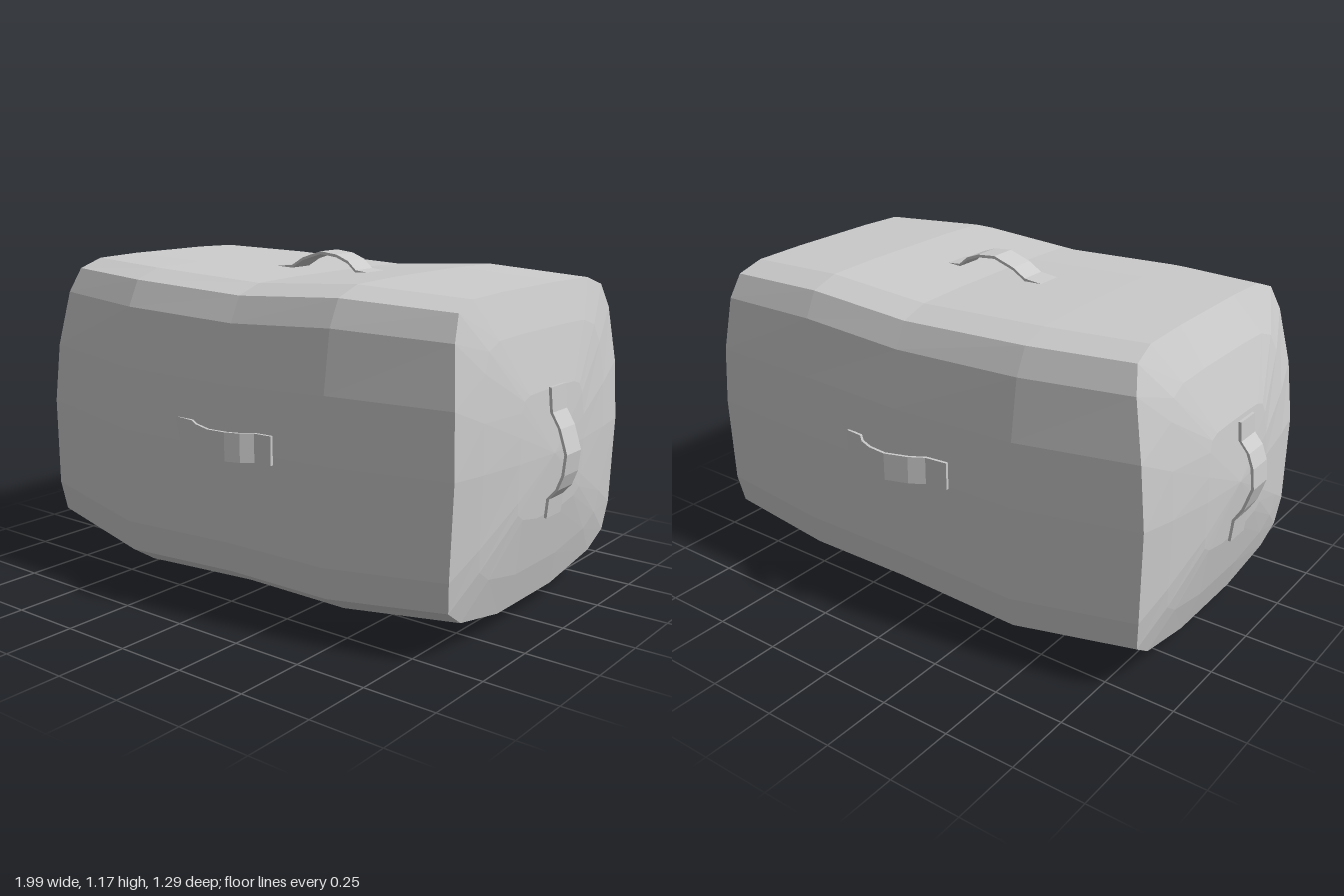
import * as THREE from 'three';

const material = new THREE.MeshStandardMaterial({ color: 0xcccccc, flatShading: true, side: THREE.DoubleSide });

// Rounded-square section: u across (z), v up; front half, mirrored for the back
const half = [
  [0.34, 1], [0.69, 0.995], [0.86, 0.965], [0.935, 0.885], [0.985, 0.7], [1, 0.5],
  [1, 0.2], [0.965, 0.1], [0.8, 0.045], [0.33, 0],
];
const section = [...half, ...half.slice().reverse().map(([u, v]) => [-u, v])];

// Stations along the body: front z, back z, top y, bottom y, and x as a function of v
const stations = [
  { f: 0.512, b: 0.512, top: 1.125, bot: 0.06, x: v => -0.84 - 0.19 * v + 0.26 * v * v },
  { f: 0.577, b: 0.57, top: 1.115, bot: 0, x: () => -0.42 },
  { f: 0.572, b: 0.583, top: 1.095, bot: 0.03, x: () => 0.05 },
  { f: 0.567, b: 0.585, top: 1.12, bot: 0.025, x: () => 0.45 },
  { f: 0.5, b: 0.565, top: 1.1, bot: 0.065, x: v => 0.85 + 0.155 * v - 0.17 * v * v },
];

const ring = s => section.map(([u, v]) =>
  new THREE.Vector3(s.x(v), THREE.MathUtils.lerp(s.bot, s.top, v), u > 0 ? u * s.f : u * s.b));

// Shrinks an end ring towards the domed centre of the end panel
const capRing = (edge, centre, k) => edge.map(p => {
  const q = centre.clone().lerp(p, k);
  q.x = THREE.MathUtils.lerp(centre.x, p.x, k ** 1.9);
  return q;
});

function bodyGeometry() {
  const rings = stations.map(ring);
  const left = new THREE.Vector3(-0.932, 0.57, 0);
  const right = new THREE.Vector3(0.928, 0.57, -0.03);
  const first = rings[0], last = rings[rings.length - 1];
  const rows = [
    ...[0, 0.4, 0.75].map(k => capRing(first, left, k)),
    ...rings,
    ...[0.75, 0.4, 0].map(k => capRing(last, right, k)),
  ];
  const n = section.length, index = [];
  for (let i = 0; i < rows.length - 1; i++) {
    for (let j = 0; j < n; j++) {
      const a = i * n + j, b = i * n + (j + 1) % n, c = a + n, d = b + n;
      if (i > 0) index.push(a, b, c);
      if (i < rows.length - 2) index.push(b, d, c);
    }
  }
  const geometry = new THREE.BufferGeometry().setFromPoints(rows.flat());
  geometry.setIndex(index);
  geometry.computeVertexNormals();
  return geometry;
}

// Strap handle: flat pads at both ends with a lopsided arch between them
function strapGeometry() {
  const path = [
    [-0.21, -0.004], [-0.13, 0.004], [-0.08, 0.034], [0, 0.06],
    [0.07, 0.053], [0.12, 0.034], [0.155, 0.004], [0.22, -0.002],
  ].map(([s, h]) => new THREE.Vector2(s, h));
  const outer = path.map(p => new THREE.Vector2(p.x, p.y + 0.01)).reverse();
  const width = 0.096;
  const geometry = new THREE.ExtrudeGeometry(new THREE.Shape([...path, ...outer]), { depth: width, bevelEnabled: false });
  geometry.translate(0, 0, -width / 2);
  return geometry;
}

export function createModel() {
  const group = new THREE.Group();
  const add = (name, geometry) => {
    const mesh = new THREE.Mesh(geometry, material);
    mesh.name = name;
    group.add(mesh);
    return mesh;
  };

  add('paddedBody', bodyGeometry());

  // One strap on each side except the underside
  const strap = strapGeometry();
  const q = Math.PI / 2;
  const handles = [
    ['topHandle', [0.03, 1.097, 0], [0, 0, 0]],
    ['frontHandle', [0.04, 0.593, 0.572], [q, 0, 0.03]],
    ['backHandle', [0.03, 0.6, -0.58], [-q, 0, 0]],
    ['leftHandle', [0.92, 0.58, -0.04], [0, 0, -q]],
    ['rightHandle', [-0.93, 0.58, 0], [0, 0, q]],
  ];
  for (const [name, position, rotation] of handles) {
    const mesh = add(name, strap);
    mesh.position.set(...position);
    mesh.rotation.set(...rotation);
  }
  return group;
}
